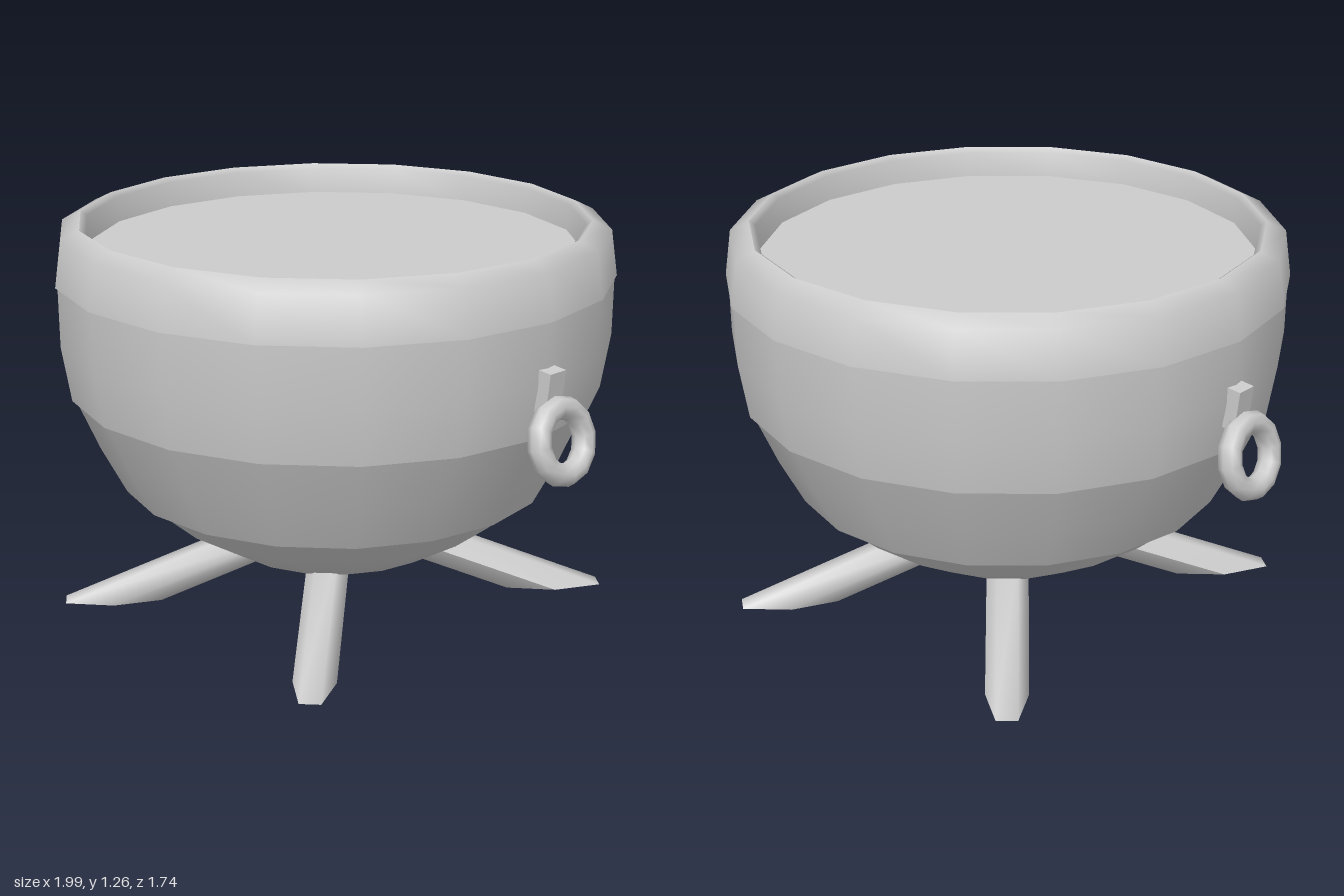
import * as THREE from 'three';

const material = new THREE.MeshStandardMaterial({ color: 0xcccccc, side: THREE.DoubleSide });
const SIDES = 18;

function addMesh(parent, name, geometry) {
  const mesh = new THREE.Mesh(geometry, material);
  mesh.name = name;
  parent.add(mesh);
  return mesh;
}

// Turned section with a corner of the polygon on +x and -x
function turned(points) {
  const profile = points.map(([r, y]) => new THREE.Vector2(r, y));
  return new THREE.LatheGeometry(profile, SIDES, Math.PI / SIDES);
}

// Hexagonal bar leaning outwards, cut level at the ground
function legGeometry() {
  const height = 0.25;
  const geometry = new THREE.CylinderGeometry(0.067, 0.067, height, 6);
  geometry.translate(0, height / 2, 0);
  const p = geometry.attributes.position;
  for (let i = 0; i < p.count; i++) {
    p.setX(i, p.getX(i) * 2.67 + 0.725 - p.getY(i) / 0.4);
  }
  geometry.computeVertexNormals();
  return geometry;
}

export function createModel() {
  const model = new THREE.Group();
  model.name = 'bowlDrum';

  // Bowl in stacked sections, each starting with a slight lip
  const bowl = new THREE.Group();
  bowl.name = 'bowl';
  model.add(bowl);
  const sections = {
    bowlBase: [[0, 0.165], [0.12, 0.167], [0.35, 0.195], [0.53, 0.3], [0.66, 0.41]],
    lowerLip: [[0.65, 0.41], [0.68, 0.41]],
    bowlLower: [[0.68, 0.41], [0.76, 0.56], [0.835, 0.73]],
    middleLip: [[0.82, 0.73], [0.845, 0.725]],
    bowlUpper: [[0.845, 0.725], [0.875, 0.9], [0.878, 1.09]],
    upperLip: [[0.86, 1.09], [0.885, 1.09]],
    rim: [[0.885, 1.09], [0.865, 1.235], [0.805, 1.265]],
    rimInside: [[0.805, 1.265], [0.785, 1.25], [0.775, 1.16]],
  };
  for (const [name, points] of Object.entries(sections)) addMesh(bowl, name, turned(points));

  // Flat skin set just below the rim
  const skin = addMesh(model, 'skin', new THREE.CircleGeometry(0.79, SIDES));
  skin.rotation.x = -Math.PI / 2;
  skin.position.y = 1.17;

  // Ring handles on both sides, hanging from small brackets
  for (const [name, turn] of [['leftHandle', 0], ['rightHandle', Math.PI]]) {
    const handle = new THREE.Group();
    handle.name = name;
    handle.rotation.y = turn;
    model.add(handle);

    const ringGeometry = new THREE.TorusGeometry(0.101, 0.036, 8, 12);
    ringGeometry.rotateY(Math.PI / 2);
    const ring = addMesh(handle, 'ring', ringGeometry);
    ring.position.set(0.935, 0.74, 0);
    ring.rotation.z = 0.23;

    const bracket = addMesh(handle, 'bracket', new THREE.BoxGeometry(0.06, 0.13, 0.07));
    bracket.position.set(0.877, 0.885, 0);
    bracket.rotation.z = -0.12;
  }

  // Four splayed legs
  const leg = legGeometry();
  for (const angle of [50, 130, 230, 310]) {
    addMesh(model, 'leg', leg).rotation.y = THREE.MathUtils.degToRad(angle);
  }
  return model;
}
